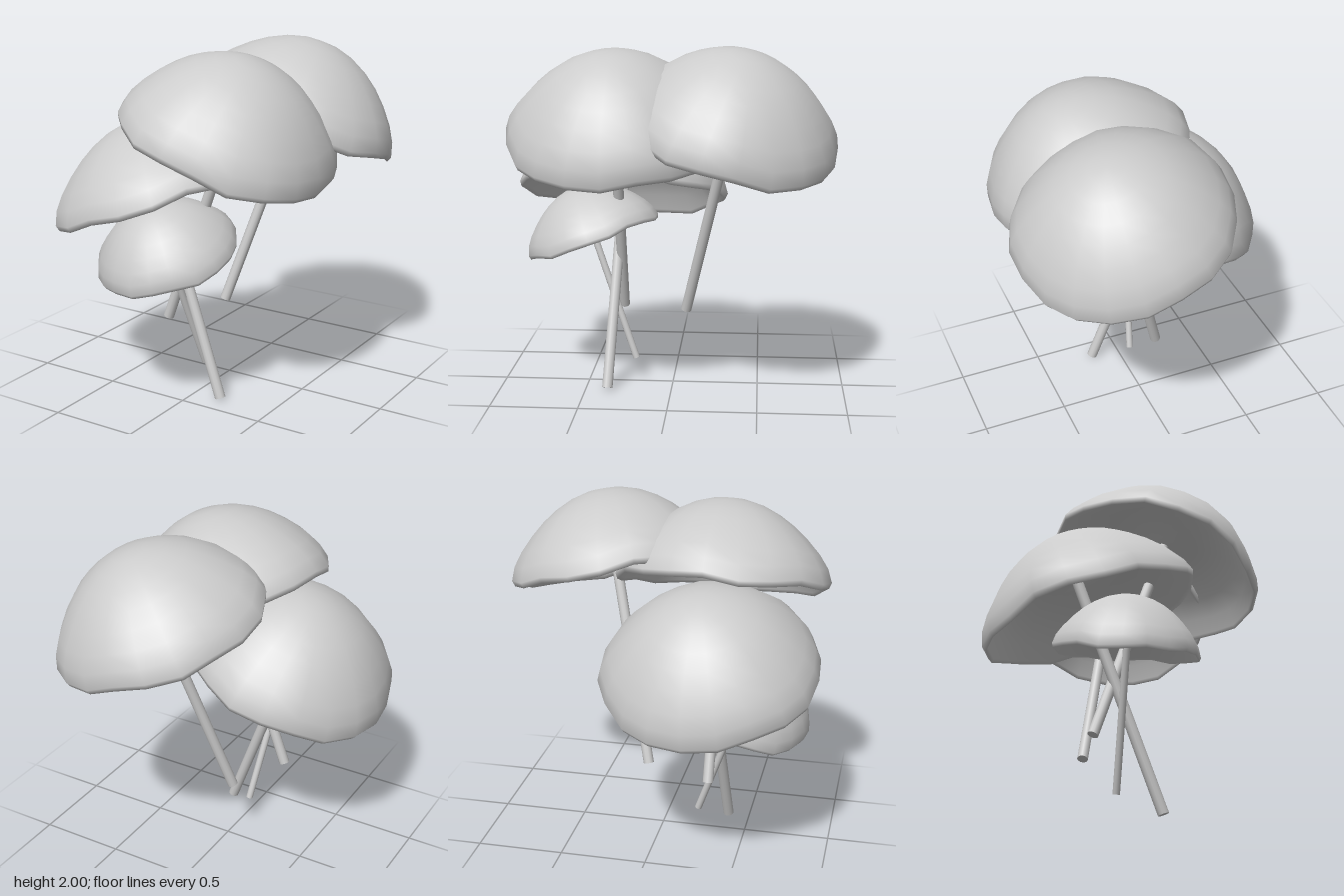
import * as THREE from 'three';
import { mergeVertices } from 'three/addons/utils/BufferGeometryUtils.js';

const SIDES = 20;
const RIM = 0.618;
const STEM = 1.16; // stem foot to rim plane, at full size

// Cap section as [radius, height above the rim plane]:
// hollow underside out to the rolled rim, then over the dome to the top
const capProfile = [[0, 0.215], [0.08, 0.225], [0.2, 0.25], [0.32, 0.235], [0.44, 0.17],
  [0.53, 0.085], [0.59, 0.005], [0.606, -0.012], [RIM, 0.02], [0.592, 0.1], [0.54, 0.182],
  [0.465, 0.268], [0.385, 0.342], [0.3, 0.402], [0.2, 0.452], [0.1, 0.48], [0, 0.488]];

// Lathe whose edge ripples up, down, in and out towards the rim
function wavyCap() {
  const lathe = new THREE.LatheGeometry(capProfile.map(([r, y]) => new THREE.Vector2(r, y)), SIDES);
  const pos = lathe.attributes.position;
  for (let i = 0; i < pos.count; i++) {
    const x = pos.getX(i), z = pos.getZ(i);
    const a = Math.atan2(z, x);
    const k = Math.pow(Math.hypot(x, z) / RIM, 4);
    const lift = k * (0.016 * Math.sin(3 * a + 1) + 0.014 * Math.sin(7 * a));
    const grow = 1 + k * 0.012 * Math.sin(5 * a + 2);
    pos.setXYZ(i, x * grow, pos.getY(i) + lift, z * grow);
  }
  lathe.deleteAttribute('uv');
  lathe.deleteAttribute('normal');
  const geometry = mergeVertices(lathe, 1e-4);
  geometry.computeVertexNormals();
  return geometry;
}

export function createModel() {
  const model = new THREE.Group();
  model.name = 'mushroomCluster';
  const material = new THREE.MeshStandardMaterial({ color: 0xcccccc });

  const cap = wavyCap().translate(0, STEM, 0);
  const stemHeight = STEM + 0.25;
  const stem = new THREE.CylinderGeometry(0.031, 0.031, stemHeight, 12).translate(0, stemHeight / 2, 0);

  // Each mushroom runs from the foot of its stem to the middle of its cap rim
  const mushrooms = [
    ['rightMushroom', [-0.22, 0.41, 0.31], [0.178, 1.493, 0.312], 0.6],
    ['backMushroom', [-0.075, 0.425, -0.073], [0.228, 1.508, -0.325], 2],
    ['leftMushroom', [0.173, 0.012, 0.373], [-0.238, 1.102, 0.315], 4],
    ['smallMushroom', [-0.027, 0.135, 0.22], [-0.105, 0.85, 0.473], 1],
  ];
  const up = new THREE.Vector3(0, 1, 0);
  for (const [name, foot, rim, spin] of mushrooms) {
    const base = new THREE.Vector3(...foot);
    const axis = new THREE.Vector3(...rim).sub(base);
    const mushroom = new THREE.Group();
    mushroom.name = name;
    mushroom.position.copy(base);
    mushroom.scale.setScalar(axis.length() / STEM);
    mushroom.quaternion.setFromUnitVectors(up, axis.normalize());
    mushroom.rotateY(spin);
    for (const [part, geometry] of [['cap', cap], ['stem', stem]]) {
      const mesh = new THREE.Mesh(geometry, material);
      mesh.name = part;
      mushroom.add(mesh);
    }
    model.add(mushroom);
  }
  return model;
}
